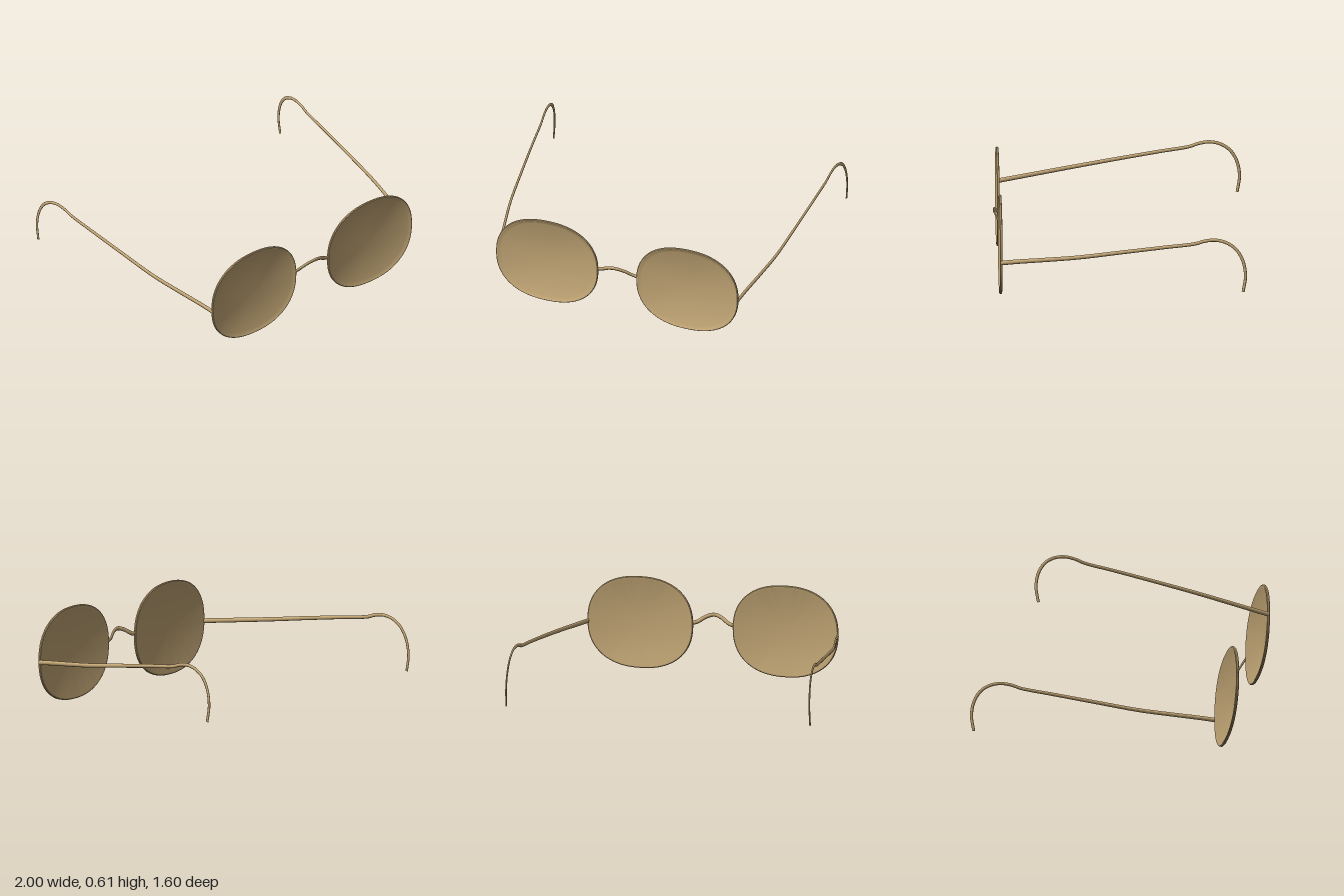
import * as THREE from 'three';
import { toCreasedNormals } from 'three/addons/utils/BufferGeometryUtils.js';

const material = new THREE.MeshStandardMaterial({ color: 0xc0a474, side: THREE.DoubleSide });

function addMesh(group, name, geometry) {
  const mesh = new THREE.Mesh(geometry, material);
  mesh.name = name;
  group.add(mesh);
}

// Wire along a path, flattened along one axis, tapering, with closed ends
function flatWire(points, radius, endRadius, axis, flatness, segments) {
  const curve = new THREE.CatmullRomCurve3(points.map(p => new THREE.Vector3(...p)));
  const sides = 12;
  const geometry = new THREE.TubeGeometry(curve, segments, 1, sides);
  const pos = geometry.attributes.position;
  const v = new THREE.Vector3();
  for (let i = 0; i <= segments; i++) {
    const centre = curve.getPointAt(i / segments);
    const end = i === 1 ? 0 : i === segments - 1 ? 1 : i / segments;
    const target = curve.getPointAt(end);
    const closed = i === 0 || i === segments;
    const r = closed ? 0 : THREE.MathUtils.lerp(radius, endRadius, i / segments);
    for (let j = 0; j <= sides; j++) {
      const k = i * (sides + 1) + j;
      v.fromBufferAttribute(pos, k).sub(centre).multiplyScalar(r);
      v[axis] *= flatness;
      v.add(target);
      pos.setXYZ(k, v.x, v.y, v.z);
    }
  }
  return geometry;
}

// Dished lens with a raised rim, its round outline squared off to a superellipse
function lensGeometry() {
  const profile = [
    [0, 0.757], [0.93, 0.757], [0.955, 0.754], [0.985, 0.754], [1, 0.758],
    [1, 0.767], [0.988, 0.771], [0.972, 0.771], [0.955, 0.768], [0.9, 0.76], [0, 0.76],
  ].map(p => new THREE.Vector2(...p));
  const geometry = new THREE.LatheGeometry(profile, 96);
  geometry.rotateX(Math.PI / 2);
  const pos = geometry.attributes.position;
  const n = 2.3;
  for (let i = 0; i < pos.count; i++) {
    const x = pos.getX(i), y = pos.getY(i);
    const r = Math.hypot(x, y);
    if (r < 1e-6) continue;
    const c = Math.abs(x / r), s = Math.abs(y / r);
    const k = Math.pow(Math.pow(c, n) + Math.pow(s, n), -1 / n);
    pos.setXY(i, x * k * 0.345, y * k * 0.303);
  }
  return toCreasedNormals(geometry, 0.5);
}

export function createModel() {
  const group = new THREE.Group();
  group.name = 'spectacles';

  for (const side of [1, -1]) {
    const label = side > 0 ? 'left' : 'right';

    // Lens and rim
    const lens = lensGeometry();
    lens.translate(side * 0.475, 0.307, 0);
    addMesh(group, label + 'Lens', lens);

    // Temple arm curling behind the ear
    const arm = [
      [0.814, 0.295, 0.765], [0.829, 0.308, 0.67], [0.865, 0.332, 0.48], [0.9, 0.358, 0.28],
      [0.928, 0.4, 0], [0.952, 0.441, -0.28], [0.966, 0.468, -0.47], [0.971, 0.487, -0.53],
      [0.976, 0.495, -0.6], [0.981, 0.478, -0.67], [0.985, 0.435, -0.73], [0.989, 0.36, -0.773],
      [0.992, 0.26, -0.79], [0.993, 0.153, -0.775],
    ].map(([x, y, z]) => [side * x, y, z]);
    addMesh(group, label + 'Arm', flatWire(arm, 0.0155, 0.0095, 'x', 0.5, 140));
  }

  // Arched nose bridge
  const bridge = [
    [-0.145, 0.322, 0.762], [-0.105, 0.332, 0.765], [-0.05, 0.364, 0.786], [0, 0.377, 0.797],
    [0.05, 0.364, 0.786], [0.105, 0.332, 0.765], [0.145, 0.322, 0.762],
  ];
  addMesh(group, 'bridge', flatWire(bridge, 0.013, 0.013, 'z', 0.22, 48));

  return group;
}
